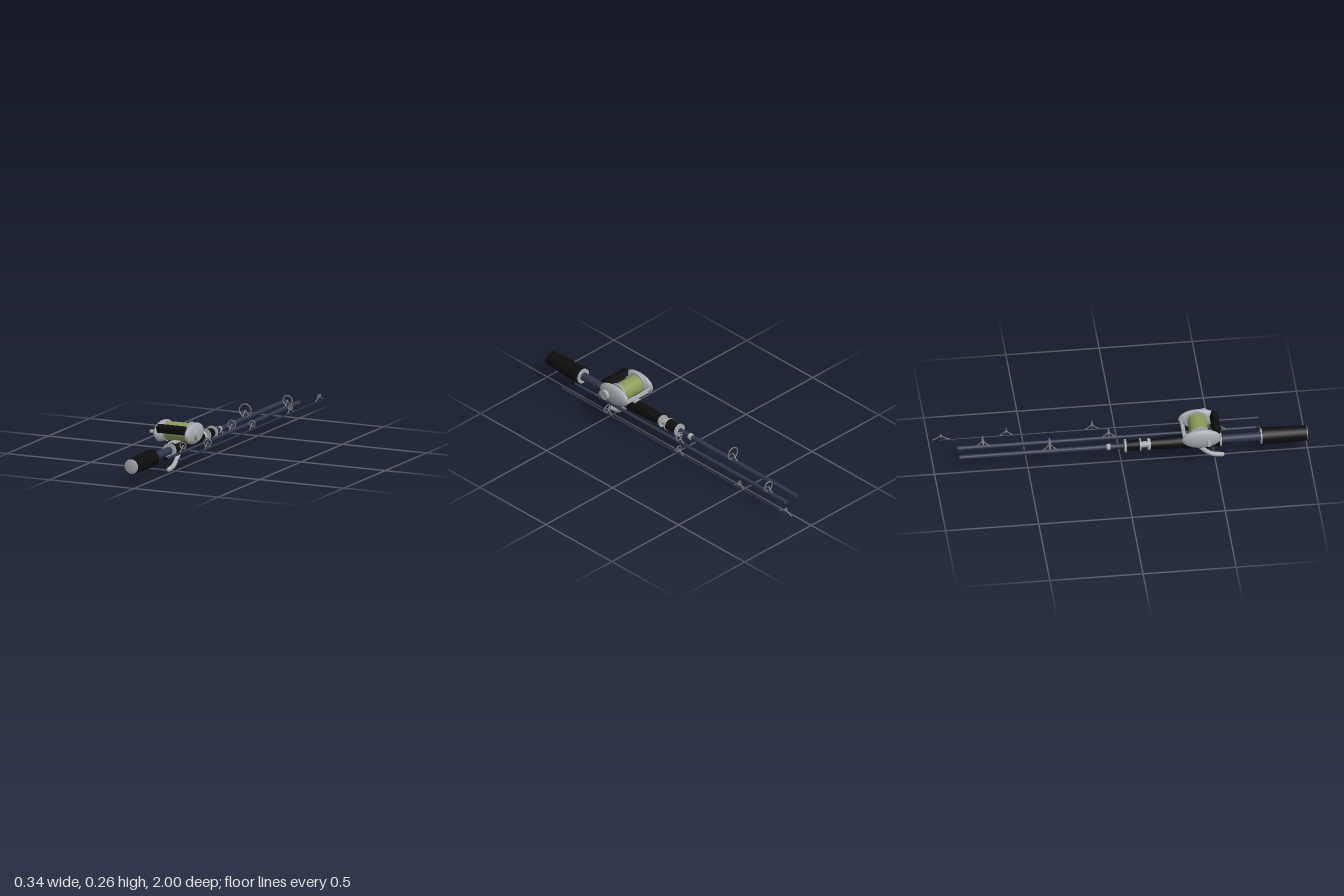
import * as THREE from 'three';

const mat = (name, color, side = THREE.FrontSide) => {
  const m = new THREE.MeshStandardMaterial({ color, side });
  m.name = name;
  return m;
};

export function createModel() {
  const black = mat('black foam', 0x0d0d0d);
  const navy = mat('navy blank', 0x30364c);
  const silver = mat('silver metal', 0xa6aaae);
  const wire = mat('guide wire grey', 0x77787a);
  const green = mat('green line', 0x8a9a58);

  const model = new THREE.Group();
  const add = (parent, name, geo, material, x = 0, y = 0, z = 0) => {
    const m = new THREE.Mesh(geo, material);
    m.name = name;
    m.position.set(x, y, z);
    parent.add(m);
    return m;
  };
  const group = (name, x, y, z = 0) => {
    const g = new THREE.Group();
    g.name = name;
    g.position.set(x, y, z);
    model.add(g);
    return g;
  };
  // Tapered round bar along z: radius r0 at z0 (back), r1 at z1 (front)
  const bar = (parent, name, material, z0, z1, r0, r1 = r0, seg = 32) =>
    add(parent, name, new THREE.CylinderGeometry(r1, r0, z1 - z0, seg).rotateX(Math.PI / 2), material, 0, 0, (z0 + z1) / 2);
  // Round bar along x
  const axle = (parent, name, material, x0, x1, r, y, z) =>
    add(parent, name, new THREE.CylinderGeometry(r, r, x1 - x0, 40).rotateZ(Math.PI / 2), material, (x0 + x1) / 2, y, z);
  // Line guide: a ring above the blank on a bent wire foot
  const guide = (parent, z, r, h, spread = 0.04, t = 0.0035) => {
    const g = new THREE.Group();
    g.name = 'lineGuide';
    g.position.z = z;
    parent.add(g);
    add(g, 'guideRing', new THREE.TorusGeometry(r - t, t, 10, 32), wire, 0, h, 0);
    const foot = new THREE.CatmullRomCurve3([
      new THREE.Vector3(0, 0.004, -spread), new THREE.Vector3(0, h * 0.5, -spread * 0.48),
      new THREE.Vector3(0, h, 0),
      new THREE.Vector3(0, h * 0.5, spread * 0.48), new THREE.Vector3(0, 0.004, spread)]);
    add(g, 'guideFoot', new THREE.TubeGeometry(foot, 24, t, 8), wire);
  };

  // Handle section
  const butt = group('handleSection', -0.02, 0.116);
  bar(butt, 'upperBlank', navy, -0.87, 0.1, 0.012, 0.014);
  bar(butt, 'handleBlank', navy, 0.1, 0.76, 0.016, 0.023);
  bar(butt, 'ferrule', silver, -0.08, -0.06, 0.016, 0.018);
  bar(butt, 'rearGrip', black, 0.752, 0.992, 0.048, 0.041);
  bar(butt, 'rearGripCollar', silver, 0.745, 0.752, 0.042);
  const cap = add(butt, 'buttCap', new THREE.SphereGeometry(0.04, 32, 12, 0, Math.PI * 2, 0, Math.PI / 2).rotateX(Math.PI / 2), silver, 0, 0, 0.992);
  cap.scale.z = 0.2;
  bar(butt, 'reelSeat', black, 0.33, 0.525, 0.035, 0.037);
  bar(butt, 'foreGrip', black, 0.155, 0.33, 0.029, 0.035);
  bar(butt, 'seatCollar', silver, 0.525, 0.535, 0.039);
  bar(butt, 'foreGripCollar', silver, 0.14, 0.155, 0.034, 0.03);
  bar(butt, 'threadedSleeve', silver, 0.1, 0.14, 0.017);
  bar(butt, 'lockCollar', silver, 0.096, 0.104, 0.035);
  bar(butt, 'lockGrip', black, 0.025, 0.096, 0.024, 0.032);
  bar(butt, 'windingCheck', silver, 0.015, 0.025, 0.036);
  guide(butt, -0.385, 0.038, 0.043, 0.045);

  // Finger trigger under the seat
  const path = new THREE.CatmullRomCurve3([
    new THREE.Vector3(0, -0.025, 0.41), new THREE.Vector3(0, -0.065, 0.445),
    new THREE.Vector3(0, -0.093, 0.485), new THREE.Vector3(0, -0.103, 0.54)]);
  add(butt, 'trigger', new THREE.TubeGeometry(path, 24, 0.0125, 16), silver);
  add(butt, 'triggerTip', new THREE.SphereGeometry(0.0125, 16, 12), silver, 0, -0.103, 0.54);

  // Middle section, thick end at the back
  const middle = group('middleSection', 0.06, 0.116);
  bar(middle, 'middleBlank', navy, -0.87, 0.75, 0.0125, 0.007, 20);
  bar(middle, 'middleFerrule', black, 0.73, 0.751, 0.009, 0.009, 20);
  [[-0.735, 0.031, 0.036], [-0.06, 0.026, 0.036], [0.53, 0.021, 0.033]].forEach(g => guide(middle, ...g));

  // Tip section, thick end at the front
  const tip = group('tipSection', 0.142, 0.117);
  bar(tip, 'tipBlank', navy, -0.96, 0.75, 0.0025, 0.006, 16);
  [[0.4, 0.025, 0.033], [-0.14, 0.02, 0.032], [-0.6, 0.015, 0.031]].forEach(g => guide(tip, ...g, 0.035, 0.003));
  guide(tip, -0.95, 0.011, 0.028, 0.047, 0.003);

  // Reel
  const reel = group('reel', -0.02, 0.196, 0.415);
  axle(reel, 'lineSpool', green, -0.068, 0.073, 0.051, 0, -0.003);
  for (const s of [-1, 1]) {
    const side = add(reel, 'sidePlate', new THREE.SphereGeometry(1, 40, 28), silver, s * 0.0915, 0, 0.005);
    side.scale.set(0.026, 0.057, 0.105);
    axle(reel, 'spoolFlange', silver, s * 0.071 - 0.004, s * 0.071 + 0.004, 0.058, 0.002, -0.003);
  }
  // Thumb bar and cross bars
  add(reel, 'thumbBar', new THREE.BoxGeometry(0.164, 0.036, 0.034), black, -0.001, 0.028, 0.088).rotation.x = 0.35;
  axle(reel, 'frontCrossBar', silver, -0.085, 0.085, 0.006, 0.0, -0.088);
  axle(reel, 'lowerCrossBar', silver, -0.085, 0.085, 0.006, -0.026, -0.075);
  add(reel, 'reelFoot', new THREE.BoxGeometry(0.04, 0.016, 0.17), silver, 0, -0.05, 0.005);
  // Side controls
  axle(reel, 'handleAxle', silver, -0.15, -0.1, 0.0095, -0.004, 0.04);
  axle(reel, 'dragAxle', silver, 0.1, 0.125, 0.012, 0, 0.04);
  axle(reel, 'dragKnob', silver, 0.121, 0.138, 0.027, 0.001, 0.04);

  return model;
}
